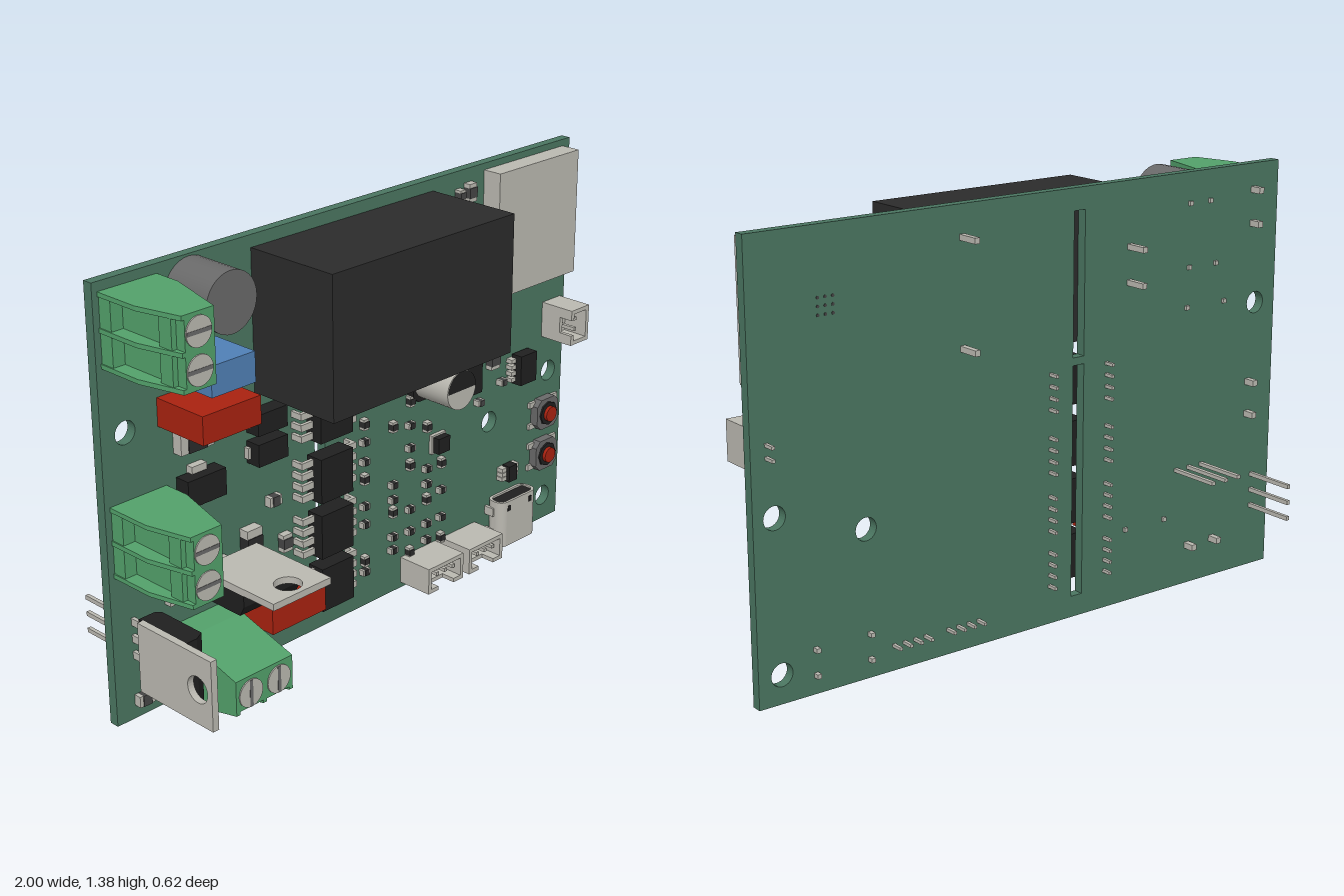
import * as THREE from 'three';

const mat = (name, color) => { const m = new THREE.MeshStandardMaterial({ color }); m.name = name; return m; };
const M = {
  board: mat('board green', 0x4a7560), green: mat('terminal green', 0x52a06a),
  black: mat('black plastic', 0x2b2b2b), chip: mat('chip black', 0x1f1f1f),
  metal: mat('light metal', 0xbab8b0), gray: mat('can gray', 0x696969),
  red: mat('red', 0xa82210), blue: mat('blue', 0x4f7fb5), dark: mat('dark gray', 0x454545),
};
const F = -0.098, BACK = -0.131; // board faces

export function createModel() {
  const root = new THREE.Group();
  const add = (name, geo, m, parent = root) => {
    const o = new THREE.Mesh(geo, m); o.name = name; parent.add(o); return o;
  };
  const group = (name, x = 0, y = 0, rot = 0) => {
    const g = new THREE.Group(); g.name = name; g.position.set(x, y, 0); g.rotation.z = rot; root.add(g); return g;
  };
  // box from minimum and maximum corners
  const box = (name, m, x0, x1, y0, y1, z0, z1, p) => add(name,
    new THREE.BoxGeometry(x1 - x0, y1 - y0, z1 - z0).translate((x0 + x1) / 2, (y0 + y1) / 2, (z0 + z1) / 2), m, p);
  // box centred on x, y
  const block = (name, m, x, y, w, h, z0, z1, p) => box(name, m, x - w / 2, x + w / 2, y - h / 2, y + h / 2, z0, z1, p);
  const cyl = (name, m, x, y, r, z0, z1, p, n = 32) => add(name,
    new THREE.CylinderGeometry(r, r, z1 - z0, n).rotateX(Math.PI / 2).translate(x, y, (z0 + z1) / 2), m, p);
  const pin = (x, y, z1 = -0.17, p = root, w = 0.014) => block('pin', M.metal, x, y, w, w, z1, F, p);
  const poly = (pts) => new THREE.Shape(pts.map(([a, b]) => new THREE.Vector2(a, b)));
  const hole = (x, y, r) => new THREE.Path().absarc(x, y, r, 0, Math.PI * 2, true);
  const extrude = (shape, depth) => new THREE.ExtrudeGeometry(shape, { depth, bevelEnabled: false, curveSegments: 16 });

  // circuit board with mounting holes and isolation slots
  const pcb = poly([[-1, 0], [1, 0], [1, 1.375], [-1, 1.375]]);
  [[-0.914, 0.914], [0.93, 0.564], [0.626, 0.465], [0.922, 0.09]].forEach(([x, y]) => pcb.holes.push(hole(x, y, 0.036)));
  [[0.07, 0.825], [0.85, 1.305]].forEach(([a, b]) =>
    pcb.holes.push(poly([[-0.187, a], [-0.187, b], [-0.144, b], [-0.144, a]])));
  add('circuitBoard', extrude(pcb, F - BACK).translate(0, 0, BACK), M.board);

  // large parts
  box('relay', M.black, -0.428, 0.337, 0.889, 1.336, F, 0.233);
  [[0.275, 1.278], [0.275, 0.947], [-0.366, 1.169], [-0.366, 1.056]].forEach(([x, y]) => pin(x, y, -0.205, root, 0.018));
  box('radioShield', M.metal, 0.575, 0.965, 0.933, 1.353, F, -0.03);
  cyl('roundCapacitor', M.gray, -0.658, 1.275, 0.093, F, 0.075);
  box('blueCapacitor', M.blue, -0.754, -0.591, 1.024, 1.118, F, 0.09);
  box('redCapacitor', M.red, -0.797, -0.58, 0.896, 0.984, F, 0.097);
  box('redCapacitor', M.red, -0.556, -0.337, 0.203, 0.289, F, 0.097);
  [[-0.70, 1.275], [-0.615, 1.275], [-0.73, 1.07], [-0.615, 1.07], [-0.77, 0.94], [-0.61, 0.94], [-0.53, 0.246], [-0.365, 0.246]]
    .forEach(([x, y]) => pin(x, y, -0.14));

  // screw terminals: u runs from the wire entry to the back slope
  const profile = (u0) => poly([[u0, F], [u0, u0 ? 0.204 : 0.058], [u0 || 0.035, 0.204], [0.148, 0.204], [0.207, -0.01], [0.207, F]]);
  const slab = (shape, v, t) => extrude(shape, t).rotateX(Math.PI / 2).translate(0, v + t / 2, 0);
  const terminal = (x, y, rot) => {
    const g = group('screwTerminal', x, y, rot);
    add('terminalBody', slab(profile(0.045), 0, 0.21), M.green, g);
    [-0.104, 0, 0.104].forEach((v) => add('terminalWall', slab(profile(0), v, 0.014), M.green, g));
    box('entrySill', M.green, 0.004, 0.05, -0.1, 0.1, F, -0.05, g);
    box('entryLip', M.green, 0.028, 0.05, -0.1, 0.1, 0.12, 0.17, g);
    [-0.055, 0.055].forEach((v) => {
      cyl('screw', M.metal, 0.0915, v, 0.045, 0.19, 0.208, g);
      block('screwSlot', M.gray, 0.0915, v, 0.086, 0.012, 0.206, 0.209, g);
      pin(0.0915, v, -0.17, g, 0.02);
    });
  };
  terminal(-0.982, 1.235, 0);
  terminal(-0.982, 0.595, 0);
  terminal(-0.691, 0.042, Math.PI / 2);

  // power transistors: flat tab lies in local x-z, body hangs below it
  const transistor = (x, y, rot) => {
    const g = group('powerTransistor', x, y, rot);
    const tab = poly([[-0.112, 0.0], [0.112, 0.0], [0.112, 0.313], [-0.112, 0.313]]);
    tab.holes.push(hole(0, 0.253, 0.042));
    add('tab', extrude(tab, 0.022).rotateX(Math.PI / 2), M.metal, g);
    const side = poly([[-0.018, -0.015], [-0.018, 0.187], [-0.06, 0.187], [-0.092, 0.17], [-0.092, 0.0], [-0.075, -0.015]]);
    // side profile swept across the body width
    add('body', extrude(side, 0.222).applyMatrix4(new THREE.Matrix4().set(0, 0, 1, -0.111, 1, 0, 0, 0, 0, 1, 0, 0, 0, 0, 0, 1)), M.chip, g);
    [-0.055, 0, 0.055].forEach((v) => {
      block('upperLeg', M.metal, v, -0.062, 0.024, 0.012, F, -0.01, g);
      block('lowerLeg', M.metal, v, -0.062, 0.014, 0.012, -0.31, F, g);
    });
  };
  transistor(-0.636, 0.465, 0);
  transistor(-0.985, 0.267, Math.PI / 2);

  // four isolators straddling the slot
  [0.757, 0.556, 0.366, 0.182].forEach((y) => {
    const g = group('isolator', -0.167, y);
    block('isolatorBody', M.chip, 0, 0, 0.136, 0.148, -0.082, -0.02, g);
    for (const s of [-1, 1]) for (let i = 0; i < 4; i++) {
      const v = (i - 1.5) * 0.037;
      block('shoulder', M.metal, s * 0.09, v, 0.05, 0.022, -0.066, -0.054, g);
      block('leg', M.metal, s * 0.111, v, 0.012, 0.02, F, -0.054, g);
      pin(s * 0.111, v, -0.165, g, 0.01);
    }
  });

  // chips with metal ends along the longer axis
  const smd = (x, y, w, h, top = -0.075, body = M.black) => {
    const g = group('smallChip', x, y), k = 0.22, flat = w > h;
    block('chipBody', body, 0, 0, flat ? w * (1 - 2 * k) : w, flat ? h : h * (1 - 2 * k), F, top, g);
    for (const s of [-1, 1]) flat
      ? block('chipEnd', M.metal, s * w * (1 - k) / 2, 0, w * k, h, F, top - 0.003, g)
      : block('chipEnd', M.metal, 0, s * h * (1 - k) / 2, w, h * k, F, top - 0.003, g);
  };
  [[-0.674, 0.55, 0.06, 0.032], [-0.374, 0.524, 0.048, 0.032], [-0.329, 0.366, 0.037, 0.058], [-0.783, 0.358, 0.037, 0.058],
    [-0.904, 0.062, 0.056, 0.036], [-0.481, 0.067, 0.064, 0.036], [0.604, 0.829, 0.034, 0.055], [0.626, 0.693, 0.042, 0.06],
    [0.497, 1.3, 0.034, 0.06], [0.449, 1.3, 0.024, 0.036], [0.449, 1.176, 0.03, 0.02], [0.495, 1.176, 0.02, 0.03],
    [0.449, 1.06, 0.03, 0.02], [0.495, 1.06, 0.02, 0.03], [0.674, 0.6, 0.03, 0.02], [0.56, 0.56, 0.03, 0.02]]
    .forEach(([x, y, w, h]) => smd(x, y, w, h, -0.07, M.dark));
  [[-0.682, 0.829, 0.125, 0.066], [-0.473, 0.407, 0.06, 0.124]].forEach((a) => smd(...a, -0.06));
  // scattered tiny resistors in columns
  const columns = [[0.02, [0.65, 0.588, 0.52, 0.46, 0.364, 0.3, 0.17, 0.13]], [0.15, [0.6, 0.395, 0.342, 0.298, 0.208, 0.16]],
    [0.23, [0.665, 0.58, 0.5, 0.44, 0.28, 0.2, 0.125]], [0.31, [0.55, 0.4, 0.345, 0.29, 0.2, 0.14]], [0.38, [0.4, 0.3, 0.2, 0.125]]];
  columns.forEach(([x, ys]) => ys.forEach((y, i) => i % 3 ? smd(x, y, 0.032, 0.02) : smd(x, y, 0.022, 0.036)));

  // moulded diodes with end tabs
  [[-0.406, 0.807, 0.118, 0.068], [-0.406, 0.71, 0.118, 0.072], [0.463, 0.936, 0.09, 0.058], [0.463, 0.84, 0.09, 0.058]].forEach(([x, y, w, h]) => {
    block('diode', M.chip, x, y, w, h, F, -0.045);
    block('diodeTab', M.metal, x, y, w + 0.02, h * 0.5, F, -0.08);
  });

  // integrated circuits with legs on left and right, n per side
  const ic = (name, x, y, w, h, n, top, rot = 0, nRight = n, wide = 0.014) => {
    const g = group(name, x, y, rot);
    block('icBody', M.chip, 0, 0, w, h, F + 0.006, top, g);
    [[-1, n, 0.014], [1, nRight, wide]].forEach(([s, k, t]) => {
      for (let i = 0; i < k; i++)
        block('icLeg', M.metal, s * (w / 2 + 0.009), (i - (k - 1) / 2) * h * 0.85 / n, 0.026, t, F, F + 0.025, g);
    });
  };
  ic('regulator', 0.482, 0.695, 0.08, 0.145, 3, -0.04, 0, 1, 0.06);
  ic('rectifier', -0.671, 0.679, 0.086, 0.145, 3, -0.04, Math.PI / 2, 1, 0.056);
  ic('serialChip', 0.77, 0.63, 0.08, 0.105, 4, -0.05);
  ic('protectionChip', 0.716, 0.256, 0.04, 0.058, 3, -0.06);
  block('sensorPads', M.metal, 0.364, 0.476, 0.066, 0.066, F, -0.085);
  block('sensorChip', M.chip, 0.364, 0.476, 0.054, 0.054, F, -0.06);

  // surface-mount can capacitor with a half-dark top
  const can = group('canCapacitor', 0.297, 0.728);
  const base = poly([[-0.07, -0.045], [-0.045, -0.07], [0.045, -0.07], [0.07, -0.045], [0.07, 0.07], [-0.07, 0.07]]);
  add('canBase', extrude(base, 0.025).translate(0, 0, F), M.chip, can);
  cyl('can', M.metal, 0, 0, 0.066, -0.074, 0.07, can);
  add('polarityMark', new THREE.CircleGeometry(0.065, 24, 0, Math.PI).translate(0, 0, 0.072), M.chip, can);

  // open pin headers with a notch on one long wall
  const header = (x, y, w, h, n, rot = 0) => {
    const g = group('pinHeader', x, y, rot), t = 0.014, top = 0.03;
    block('headerFloor', M.metal, 0, 0, w, h, F, -0.06, g);
    block('headerBackWall', M.metal, 0, h / 2 - t / 2, w, t, -0.06, top, g);
    for (const s of [-1, 1]) {
      block('headerSide', M.metal, s * (w - t) / 2, 0, t, h - 2 * t, -0.06, top, g);
      block('headerFrontWall', M.metal, s * w * 0.36, -h / 2 + t / 2, w * 0.28, t, -0.06, top, g);
    }
    block('headerFrontSill', M.metal, 0, -h / 2 + t / 2, w * 0.44, t, -0.06, -0.02, g);
    for (let i = 0; i < n; i++) {
      const v = (i - (n - 1) / 2) * 0.038;
      block('contact', M.metal, v, 0, 0.012, 0.012, -0.06, 0.01, g);
      pin(v, 0.015, -0.17, g, 0.01);
    }
  };
  header(0.281, 0.066, 0.168, 0.092, 4);
  header(0.479, 0.066, 0.168, 0.092, 4);
  header(0.934, 0.762, 0.124, 0.091, 2, -Math.PI / 2);

  // charging socket opening downwards
  const rounded = (P, w, h, r) => {
    const p = new P();
    p.absarc(w - r, h - r, r, 0, Math.PI / 2); p.absarc(r - w, h - r, r, Math.PI / 2, Math.PI);
    p.absarc(r - w, r - h, r, Math.PI, Math.PI * 1.5); p.absarc(w - r, r - h, r, Math.PI * 1.5, Math.PI * 2);
    return p.closePath();
  };
  const usb = group('socket', 0.714, 0.18), shell = rounded(THREE.Shape, 0.093, 0.036, 0.03);
  shell.holes.push(rounded(THREE.Path, 0.084, 0.027, 0.024));
  add('socketShell', extrude(shell, 0.168).rotateX(Math.PI / 2).translate(0, 0, -0.062), M.metal, usb);
  box('socketBack', M.chip, -0.08, 0.08, -0.03, -0.004, -0.085, -0.039, usb);
  box('socketTongue', M.chip, -0.06, 0.06, -0.14, -0.03, -0.068, -0.056, usb);
  for (const s of [-1, 1]) for (const y of [-0.04, -0.12]) {
    block('socketTab', M.metal, s * 0.094, y, 0.012, 0.03, F, -0.06, usb);
    pin(s * 0.094, y, -0.15, usb);
  }
  for (const x of [-0.055, 0.055]) block('socketLatch', M.chip, x, -0.025, 0.014, 0.02, -0.03, -0.024, usb);

  // push buttons
  [0.422, 0.267].forEach((y) => {
    const g = group('pushButton', 0.901, y), a = 0.055, c = 0.034;
    const body = poly([[a, -c], [a, c], [c, a], [-c, a], [-a, c], [-a, -c], [-c, -a], [c, -a]]);
    add('buttonBody', extrude(body, 0.03).translate(0, 0, F), M.gray, g);
    cyl('buttonCollar', M.chip, 0, 0, 0.043, F, -0.062, g, 8);
    cyl('buttonCap', M.red, 0, 0, 0.027, F, -0.05, g);
    for (const sx of [-1, 1]) for (const sy of [-1, 1])
      block('buttonLeg', M.metal, sx * 0.058, sy * 0.04, 0.03, 0.02, F, -0.088, g);
  });

  // thermal vias on the back
  for (let i = 0; i < 9; i++)
    cyl('via', M.dark, 0.72 + (i % 3) * 0.025, 1.12 + Math.floor(i / 3) * 0.025, 0.005, BACK - 0.002, BACK + 0.001, root, 8);
  return root;
}
